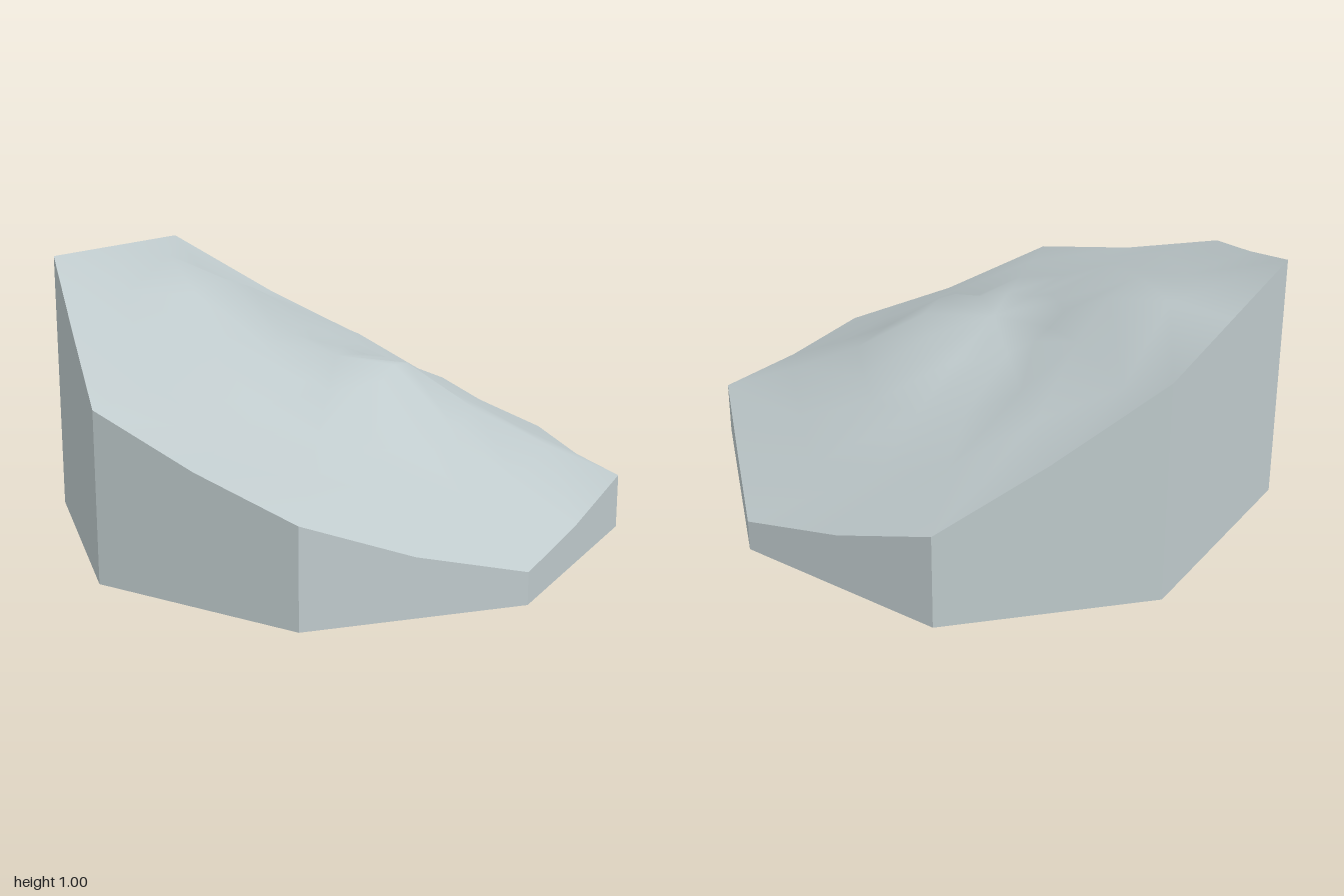
import * as THREE from 'three';

const SIDES = 16; // octagon corners and edge midpoints
const RINGS = 4;

// Surface heights, ring by ring outwards, starting at +x and turning towards +z
const CENTRE = 0.65;
const HEIGHTS = [
  [0.65, 0.62, 0.60, 0.60, 0.62, 0.66, 0.69, 0.70, 0.68, 0.67, 0.63, 0.60, 0.585, 0.585, 0.59, 0.63],
  [0.45, 0.41, 0.45, 0.53, 0.60, 0.71, 0.79, 0.88, 0.885, 0.80, 0.62, 0.54, 0.48, 0.45, 0.44, 0.45],
  [0.29, 0.26, 0.36, 0.46, 0.56, 0.675, 0.75, 0.86, 0.945, 0.75, 0.645, 0.49, 0.36, 0.27, 0.29, 0.32],
  [0.15, 0.125, 0.23, 0.39, 0.505, 0.66, 0.825, 1.005, 0.955, 0.905, 0.63, 0.39, 0.23, 0.125, 0.15, 0.21],
];

// Point on the octagon outline, scaled by t, at height y
function outline(k, t, y) {
  const i = k % SIDES;
  const a = (i * Math.PI * 2) / SIDES;
  const r = i % 2 ? t / Math.cos(Math.PI / 8) : t;
  return [r * Math.cos(a), y, r * Math.sin(a)];
}

function geometry(points, index) {
  const g = new THREE.BufferGeometry();
  g.setAttribute('position', new THREE.Float32BufferAttribute(points.flat(), 3));
  if (index) g.setIndex(index);
  g.computeVertexNormals();
  return g;
}

export function createModel() {
  const stone = new THREE.MeshStandardMaterial({ color: 0xbfcacc });
  stone.name = 'grey stone';
  const group = new THREE.Group();
  group.name = 'terrainBlock';
  const add = (name, geo) => {
    const mesh = new THREE.Mesh(geo, stone);
    mesh.name = name;
    group.add(mesh);
  };

  // Rolling top surface, smooth shaded
  const top = [[0, CENTRE, 0]];
  const index = [];
  const at = (ring, k) => 1 + ring * SIDES + (k % SIDES);
  for (let r = 0; r < RINGS; r++) {
    for (let k = 0; k < SIDES; k++) {
      top.push(outline(k, (r + 1) / RINGS, HEIGHTS[r][k]));
      if (r === 0) index.push(0, at(0, k + 1), at(0, k));
      else {
        const a = at(r - 1, k), b = at(r - 1, k + 1), c = at(r, k), d = at(r, k + 1);
        index.push(a, b, d, a, d, c);
      }
    }
  }
  add('topSurface', geometry(top, index));

  // Upright sides and flat underside
  const walls = [];
  const base = [];
  const rim = HEIGHTS[RINGS - 1];
  for (let k = 0; k < SIDES; k++) {
    const a0 = outline(k, 1, 0), b0 = outline(k + 1, 1, 0);
    const a1 = outline(k, 1, rim[k]), b1 = outline(k + 1, 1, rim[(k + 1) % SIDES]);
    walls.push(b0, a0, a1, b0, a1, b1);
    base.push([0, 0, 0], a0, b0);
  }
  add('sideWalls', geometry(walls));
  add('underside', geometry(base));

  return group;
}
